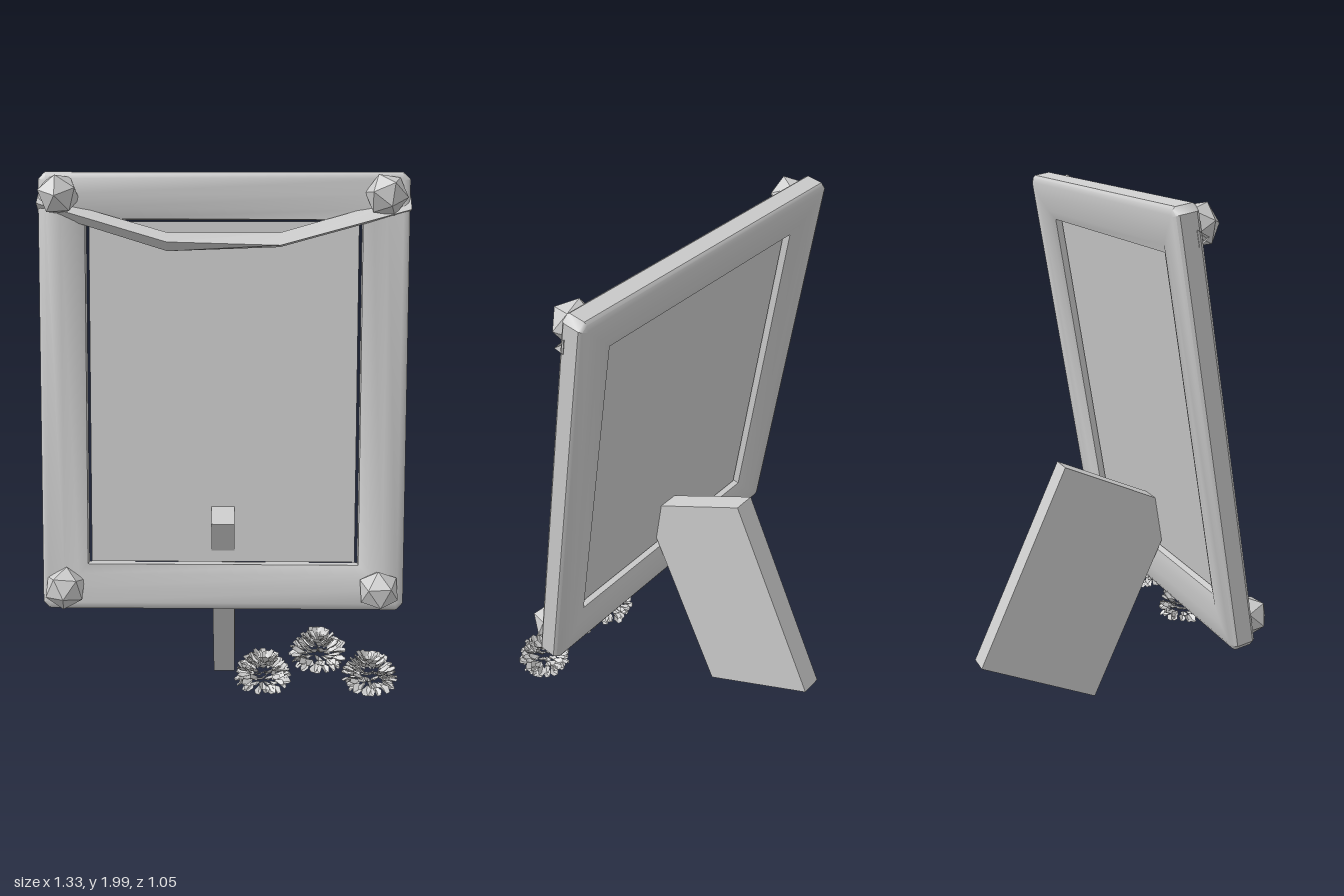
import * as THREE from 'three';
import { toCreasedNormals } from 'three/addons/utils/BufferGeometryUtils.js';

const TILT = -THREE.MathUtils.degToRad(9.7);

// Skins a grid of closed cross-sections; optionally joins the last to the first
function loft(sections, closed) {
  const n = sections[0].length, count = sections.length, index = [];
  for (let u = 0; u < (closed ? count : count - 1); u++) {
    for (let v = 0; v < n; v++) {
      const a = u * n + v, b = ((u + 1) % count) * n + v;
      const c = ((u + 1) % count) * n + (v + 1) % n, d = u * n + (v + 1) % n;
      index.push(a, b, c, a, c, d);
    }
  }
  const geo = new THREE.BufferGeometry();
  geo.setAttribute('position', new THREE.Float32BufferAttribute(sections.flat(2), 3));
  geo.setIndex(index);
  return geo;
}

// Mitred frame: a moulding profile [inset, z] carried round a rectangle with clipped corners
function frameGeometry(halfW, halfH) {
  const profile = [[0, -0.03], [0, 0.03], [0.008, 0.04], [0.025, 0.047], [0.08, 0.046], [0.13, 0.038],
    [0.165, 0.024], [0.165, -0.024], [0.13, -0.038], [0.08, -0.046], [0.025, -0.047], [0.008, -0.04]];
  const corners = [[1, -1], [1, 1], [-1, 1], [-1, -1]];
  const sections = [];
  for (const [sx, sy] of corners) {
    for (let k = 0; k < 2; k++) {
      // the first point of each corner lies on the side it is reached from
      const cutY = (sx === sy) === (k === 0);
      sections.push(profile.map(([d, z]) => {
        const cut = Math.max(0, 0.025 - d * 0.8);
        return [sx * (halfW - d - (cutY ? 0 : cut)), sy * (halfH - d - (cutY ? cut : 0)), z];
      }));
    }
  }
  return toCreasedNormals(loft(sections, true), 0.6);
}

function makeRandom(seed) {
  return () => {
    seed = (seed * 16807) % 2147483647;
    return seed / 2147483647;
  };
}

// Rosette of folded petals in stacked rings
function flowerGeometry(seed) {
  const rand = makeRandom(seed), pos = [];
  const rings = [
    // inner radius, outer radius, base height, tip height, petals
    [0.045, 0.092, 0.02, 0.0, 18],
    [0.05, 0.105, 0.035, 0.035, 20],
    [0.045, 0.1, 0.05, 0.065, 20],
    [0.03, 0.08, 0.06, 0.088, 18],
    [0.015, 0.06, 0.075, 0.11, 14],
    [0.0, 0.04, 0.085, 0.12, 9],
  ];
  for (const [r0, r1, y0, y1, count] of rings) {
    for (let i = 0; i < count; i++) {
      const a = (i + rand() * 0.7) / count * Math.PI * 2;
      const w = 0.013 + rand() * 0.008;
      const tipR = r1 * (0.9 + rand() * 0.12), tipY = Math.max(0, y1 + (rand() - 0.5) * 0.02);
      const twist = (rand() - 0.5) * 0.025;
      const at = (r, side, y) => [
        Math.cos(a) * r - Math.sin(a) * side, y, Math.sin(a) * r + Math.cos(a) * side];
      const midR = r0 + (tipR - r0) * 0.65, midY = (y0 + tipY) / 2;
      const base = at(r0, 0, y0), mid = at(midR, 0, midY - 0.006);
      const left = at(midR, -w, midY + 0.006 + twist), right = at(midR, w, midY + 0.006 - twist);
      const tipL = at(tipR, -w * 0.5, tipY), tipRt = at(tipR, w * 0.5, tipY);
      pos.push(base, left, mid, base, mid, right, mid, left, tipL, mid, tipL, tipRt, mid, tipRt, right);
    }
  }
  const geo = new THREE.BufferGeometry();
  geo.setAttribute('position', new THREE.Float32BufferAttribute(pos.flat(), 3));
  geo.computeVertexNormals();
  return geo;
}

export function createModel() {
  const model = new THREE.Group();
  model.name = 'pictureFrame';
  const grey = new THREE.MeshStandardMaterial({ color: 0xcccccc });
  grey.name = 'plain grey';
  const greyThin = grey;
  greyThin.side = THREE.DoubleSide;

  const add = (parent, name, geo, x = 0, y = 0, z = 0) => {
    const mesh = new THREE.Mesh(geo, grey);
    mesh.name = name;
    mesh.position.set(x, y, z);
    parent.add(mesh);
    return mesh;
  };

  // Leaning frame with its picture panel
  const leaning = new THREE.Group();
  leaning.name = 'leaningFrame';
  leaning.position.set(0, 1.215, 0.13);
  leaning.rotation.x = TILT;
  model.add(leaning);
  add(leaning, 'frameMoulding', frameGeometry(0.662, 0.792));
  add(leaning, 'picturePanel', new THREE.BoxGeometry(0.97, 1.24, 0.008));

  // Back stand, pushed through the panel
  const stand = add(model, 'stand', new THREE.BoxGeometry(0.084, 0.837, 0.511), 0, 0.495, -0.118);
  stand.rotation.x = THREE.MathUtils.degToRad(24.6);

  // Faceted corner gems
  const gems = [
    [-0.585, 1.925, 0.07, 0.4], [0.575, 1.925, 0.07, 1.3],
    [-0.578, 0.525, 0.31, 2.1], [0.57, 0.525, 0.31, 0.8],
  ];
  for (const [x, y, z, turn] of gems) {
    const gem = add(model, 'cornerGem', toCreasedNormals(new THREE.IcosahedronGeometry(0.078, 0), 0.1), x, y, z);
    gem.rotation.set(turn, turn * 0.7, turn * 1.6);
  }

  // Hanging ribbon: triangular sections as x, then [y, z] of bottom, ridge and top
  const ribbon = [
    [-0.665, [1.865, 0.04], [1.895, 0.075], [1.92, 0.03]],
    [-0.2, [1.73, 0.1], [1.768, 0.145], [1.795, 0.09]],
    [0.2, [1.745, 0.1], [1.757, 0.145], [1.795, 0.09]],
    [0.665, [1.865, 0.04], [1.875, 0.075], [1.92, 0.03]],
  ].map(([x, ...pts]) => pts.map(([y, z]) => [x, y, z]));
  add(model, 'ribbon', toCreasedNormals(loft(ribbon, false), 0.2));

  // Three flowers beside the foot
  [[0.147, 0.2], [0.345, 0.285], [0.535, 0.2]].forEach(([x, y], i) => {
    add(model, 'flower', flowerGeometry(101 + i * 57), x, y, 0.418);
  });

  return model;
}
